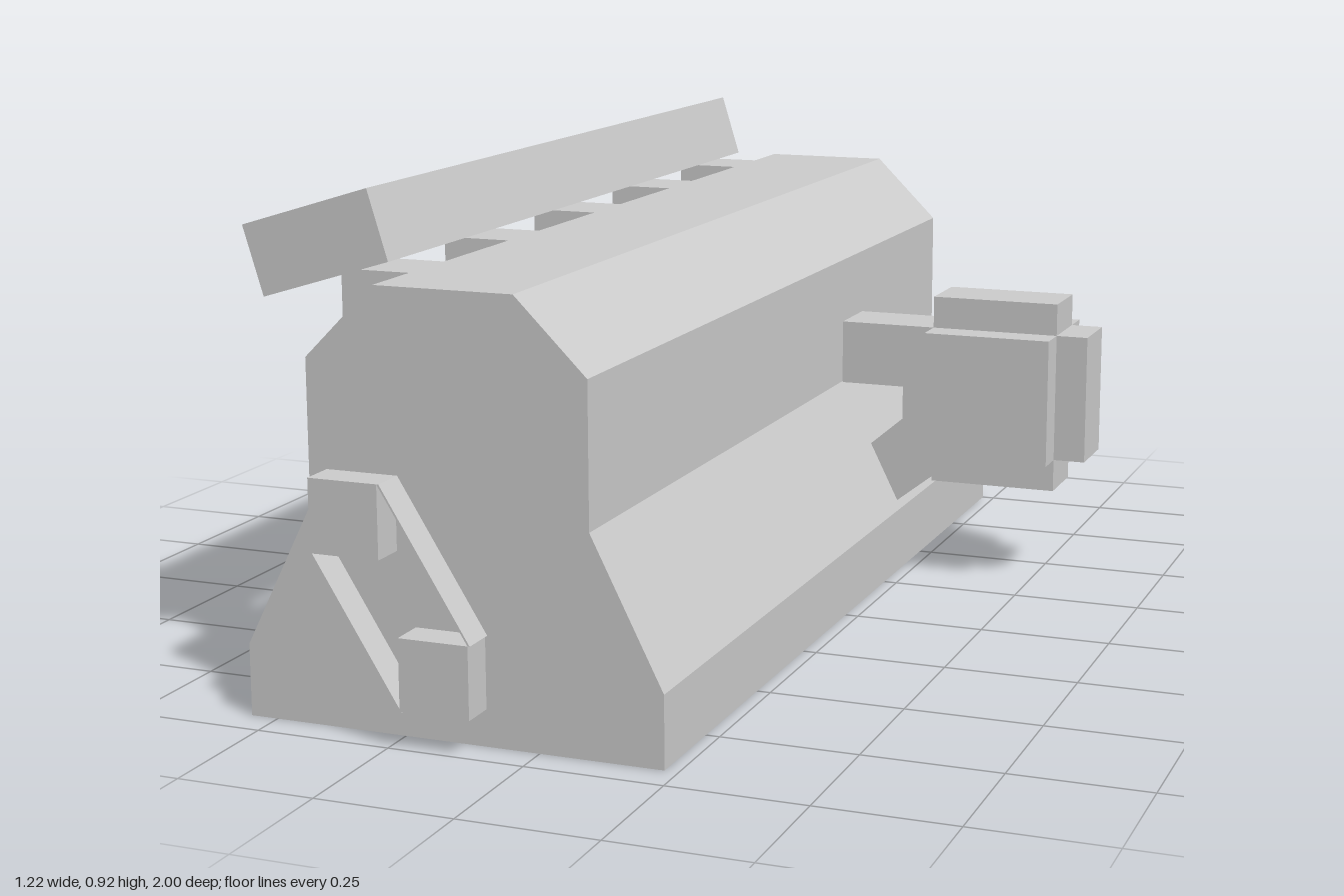
import * as THREE from 'three';

export function createModel() {
  const model = new THREE.Group();
  const material = new THREE.MeshStandardMaterial({ color: 0xcccccc, flatShading: true });

  const add = (name, geometry) => {
    const mesh = new THREE.Mesh(geometry, material);
    mesh.name = name;
    model.add(mesh);
    return mesh;
  };
  // Box given by its limits on each axis
  const box = (name, [x0, x1], [y0, y1], [z0, z1]) => {
    const mesh = add(name, new THREE.BoxGeometry(x1 - x0, y1 - y0, z1 - z0));
    mesh.position.set((x0 + x1) / 2, (y0 + y1) / 2, (z0 + z1) / 2);
    return mesh;
  };
  // Outline in x and y, extruded from z0 to z1
  const prism = (name, points, z0, z1) => {
    const shape = new THREE.Shape(points.map(([x, y]) => new THREE.Vector2(x, y)));
    const geometry = new THREE.ExtrudeGeometry(shape, { depth: z1 - z0, bevelEnabled: false });
    return add(name, geometry.translate(0, 0, z0));
  };

  // Long body with flared foot and chamfered top
  const half = [[0.388, 0], [0.388, 0.13], [0.258, 0.39], [0.258, 0.645], [0.128, 0.775]];
  const cx = -0.163;
  const outline = [
    ...half.map(([x, y]) => [cx + x, y]),
    ...half.slice().reverse().map(([x, y]) => [cx - x, y]),
  ];
  prism('body', outline, -1, 0.935);

  // Tilted rail along the upper right edge
  const railBack = -0.87, railFront = 0.805;
  const rail = box('rail', [-0.6, -0.344], [0.751, 0.881], [railBack, railFront]);
  rail.rotation.z = Math.atan2(0.075, 0.245);

  // Five corner blocks carrying the rail
  const unit = (railFront - railBack) / 13;
  for (let i = 0; i < 5; i++) {
    const z = railBack + i * 3 * unit;
    prism('railSupport', [[-0.421, 0.645], [-0.291, 0.775], [-0.421, 0.775]], z, z + unit);
  }

  // Side unit: three crossing blocks on an arm with a slanted brace
  const narrow = [-0.485, -0.357];
  box('sideArm', [0.09, 0.3], [0.388, 0.516], narrow);
  box('sideBlockWide', [0.29, 0.547], [0.26, 0.516], [-0.55, -0.292]);
  box('sideBlockTall', [0.29, 0.547], [0.195, 0.58], narrow);
  box('sideBlockLong', [0.226, 0.61], [0.26, 0.516], narrow);
  prism('sideBrace', [[0.14, 0.247], [0.2, 0.133], [0.292, 0.205], [0.31, 0.28], [0.25, 0.341]],
    ...narrow);

  // Front drive: two square pulleys joined by a thin belt
  const depth = [0.93, 1];
  box('upperPulley', [-0.387, -0.258], [0.325, 0.455], depth);
  box('lowerPulley', [-0.226, -0.097], [0.066, 0.195], depth);
  const t = 0.004;
  for (const [x, y] of [[-0.387, 0.325], [-0.258, 0.455]]) {
    prism('belt', [[x, y], [x + 0.161, y - 0.26], [x + 0.161 + t, y - 0.26], [x + t, y]], ...depth);
  }

  return model;
}
